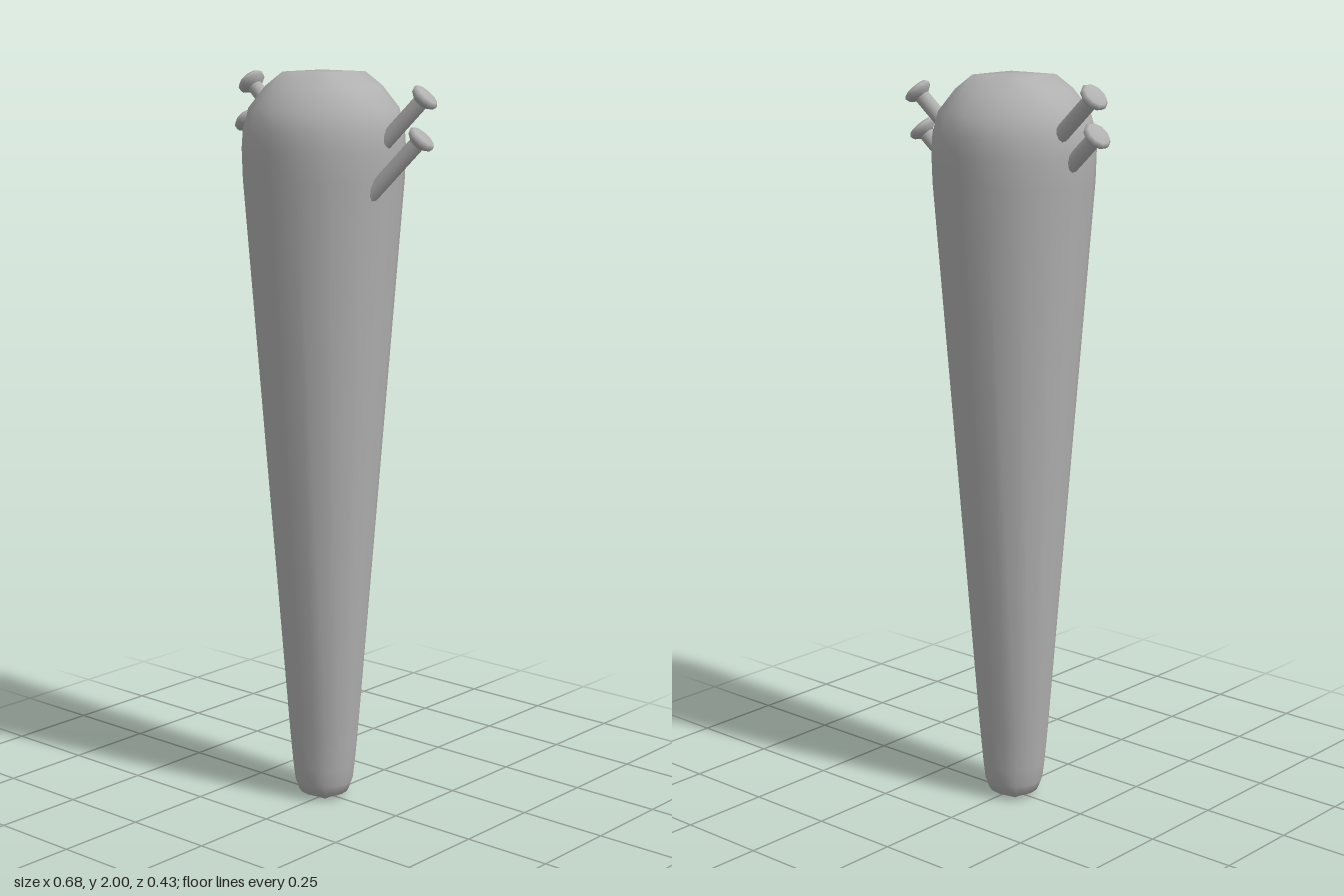
import * as THREE from 'three';
import { mergeVertices } from 'three/addons/utils/BufferGeometryUtils.js';

const grey = new THREE.MeshStandardMaterial({ color: 0xb0b0b0 });
grey.name = 'grey';

// Lathe whose rings can be blended from round (0) to square (1); rings are [radius, y, square]
function ringSolid(rings, sides) {
  const geo = new THREE.LatheGeometry(rings.map(([r, y]) => new THREE.Vector2(r, y)), sides);
  const pos = geo.attributes.position;
  for (let i = 0; i < pos.count; i++) {
    const square = rings[i % rings.length][2] || 0;
    const x = pos.getX(i), z = pos.getZ(i);
    const m = Math.max(Math.abs(x), Math.abs(z));
    if (!square || m < 1e-6) continue;
    const k = 1 + square * (Math.hypot(x, z) / m - 1);
    pos.setX(i, x * k);
    pos.setZ(i, z * k);
  }
  geo.deleteAttribute('uv');
  geo.deleteAttribute('normal');
  const merged = mergeVertices(geo, 1e-5);
  merged.computeVertexNormals();
  return merged;
}

// Nail along +y, with the top of its head at the origin
function makeNail(name, head, direction) {
  const group = new THREE.Group();
  group.name = name;
  const shaft = new THREE.Mesh(new THREE.CylinderGeometry(0.021, 0.021, 0.22, 10), grey);
  shaft.name = 'nailShaft';
  shaft.position.y = -0.125;
  const cap = new THREE.Mesh(ringSolid([
    [0, -0.028], [0.021, -0.026], [0.037, -0.014], [0.04, -0.005], [0.033, 0.003], [0, 0.006],
  ], 10), grey);
  cap.name = 'nailHead';
  group.add(shaft, cap);
  group.position.set(...head);
  group.quaternion.setFromUnitVectors(
    new THREE.Vector3(0, 1, 0), new THREE.Vector3(...direction).normalize());
  return group;
}

export function createModel() {
  const model = new THREE.Group();
  model.name = 'nailedClub';

  // Tapered club with a rounded, slightly squared top and foot
  const club = new THREE.Mesh(ringSolid([
    [0, 0.004], [0.036, 0.006, 0.9], [0.066, 0.018, 0.1], [0.08, 0.05], [0.086, 0.1], [0.095, 0.2],
    [0.214, 1.72], [0.2165, 1.8], [0.213, 1.85], [0.198, 1.905], [0.146, 1.962, 0.12],
    [0.078, 1.998, 0.95], [0, 2],
  ], 16), grey);
  club.name = 'club';
  club.position.x = -0.01;
  model.add(club);

  // Two parallel nails in each side
  const leftDir = [1, 1.15, -0.37], rightDir = [-1, 0.95, 0];
  model.add(
    makeNail('upperLeftNail', [0.296, 1.945, -0.047], leftDir),
    makeNail('lowerLeftNail', [0.311, 1.842, -0.015], leftDir),
    makeNail('upperRightNail', [-0.315, 1.965, -0.043], rightDir),
    makeNail('lowerRightNail', [-0.301, 1.865, -0.012], rightDir),
  );
  return model;
}
